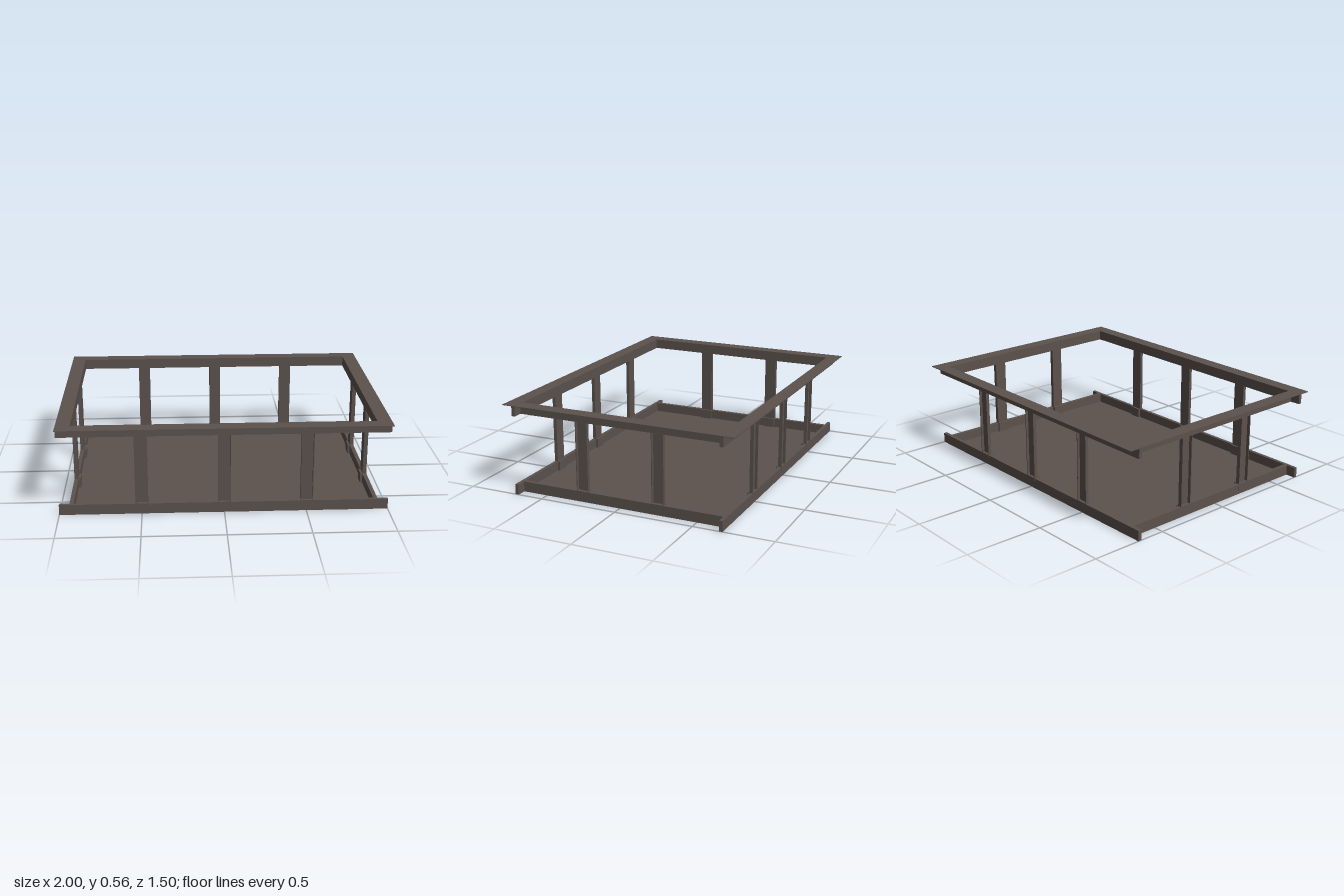
import * as THREE from 'three';

export function createModel() {
  const model = new THREE.Group();
  model.name = 'openFrame';
  const steel = new THREE.MeshStandardMaterial({ color: 0x5c524d });
  steel.name = 'brown steel';

  // Box given by its min and max corners
  function box(parent, name, x0, x1, y0, y1, z0, z1) {
    const mesh = new THREE.Mesh(new THREE.BoxGeometry(x1 - x0, y1 - y0, z1 - z0), steel);
    mesh.position.set((x0 + x1) / 2, (y0 + y1) / 2, (z0 + z1) / 2);
    mesh.name = name;
    parent.add(mesh);
    return mesh;
  }

  const H = 0.565, RAIL = 0.065;   // total height, rail height
  const XI = 0.912, XO = 0.937;    // end rail inner and outer faces
  const ZI = 0.664, ZO = 0.686;    // long rail inner and outer faces

  // Floor plate
  box(model, 'floor', -XO, XO, 0, 0.004, -ZO, ZO);

  // Lower and upper rails; the long ones run past the corners
  for (const [level, y0, y1] of [['lower', 0, RAIL], ['upper', H - RAIL, H - 0.004]]) {
    for (const s of [-1, 1]) {
      const zc = s * (ZI + ZO) / 2, xc = s * (XI + XO) / 2;
      box(model, level + 'LongRail', -1, 1, y0, y1, zc - 0.011, zc + 0.011);
      box(model, level + 'EndRail', xc - 0.0125, xc + 0.0125, y0, y1, -ZI, ZI);
    }
  }

  // Flat flange around the top opening
  const ring = new THREE.Shape([[-1, -0.75], [1, -0.75], [1, 0.75], [-1, 0.75]].map(p => new THREE.Vector2(...p)));
  ring.holes.push(new THREE.Path([[-XI, -ZI], [-XI, ZI], [XI, ZI], [XI, -ZI]].map(p => new THREE.Vector2(...p))));
  const flange = new THREE.Mesh(new THREE.ExtrudeGeometry(ring, { depth: 0.004, bevelEnabled: false }), steel);
  flange.rotation.x = -Math.PI / 2;
  flange.position.y = H - 0.004;
  flange.name = 'topFlange';
  model.add(flange);

  // Channel post, open to the outside (+z), with a bracket at its foot
  function post(name, x, z, angle, depth) {
    const g = new THREE.Group();
    g.name = name;
    const w = 0.039, top = H - RAIL;
    box(g, 'web', -w, w, RAIL, top, 0, 0.005);
    for (const s of [-1, 1]) {
      const c = s * (w - 0.0025);
      box(g, 'postFlange', c - 0.0025, c + 0.0025, RAIL, top, 0.005, depth);
    }
    box(g, 'footBracket', -0.04, 0.04, 0.002, RAIL + 0.002, -0.014, depth + 0.001);
    g.position.set(x, 0, z);
    g.rotation.y = angle;
    model.add(g);
  }
  for (const x of [-0.5, 0, 0.5]) {
    post('frontPost', x, ZI, 0, ZO - ZI);
    post('backPost', x, -ZI, Math.PI, ZO - ZI);
  }
  for (const z of [-0.25, 0.25]) {
    post('leftPost', XI, z, Math.PI / 2, XO - XI);
    post('rightPost', -XI, z, -Math.PI / 2, XO - XI);
  }

  // Small tabs beside two front brackets
  box(model, 'frontTab', -0.46, -0.43, 0.002, 0.06, ZO, ZO + 0.002);
  box(model, 'frontTab', -0.07, -0.04, 0.002, 0.06, ZO, ZO + 0.002);

  return model;
}
